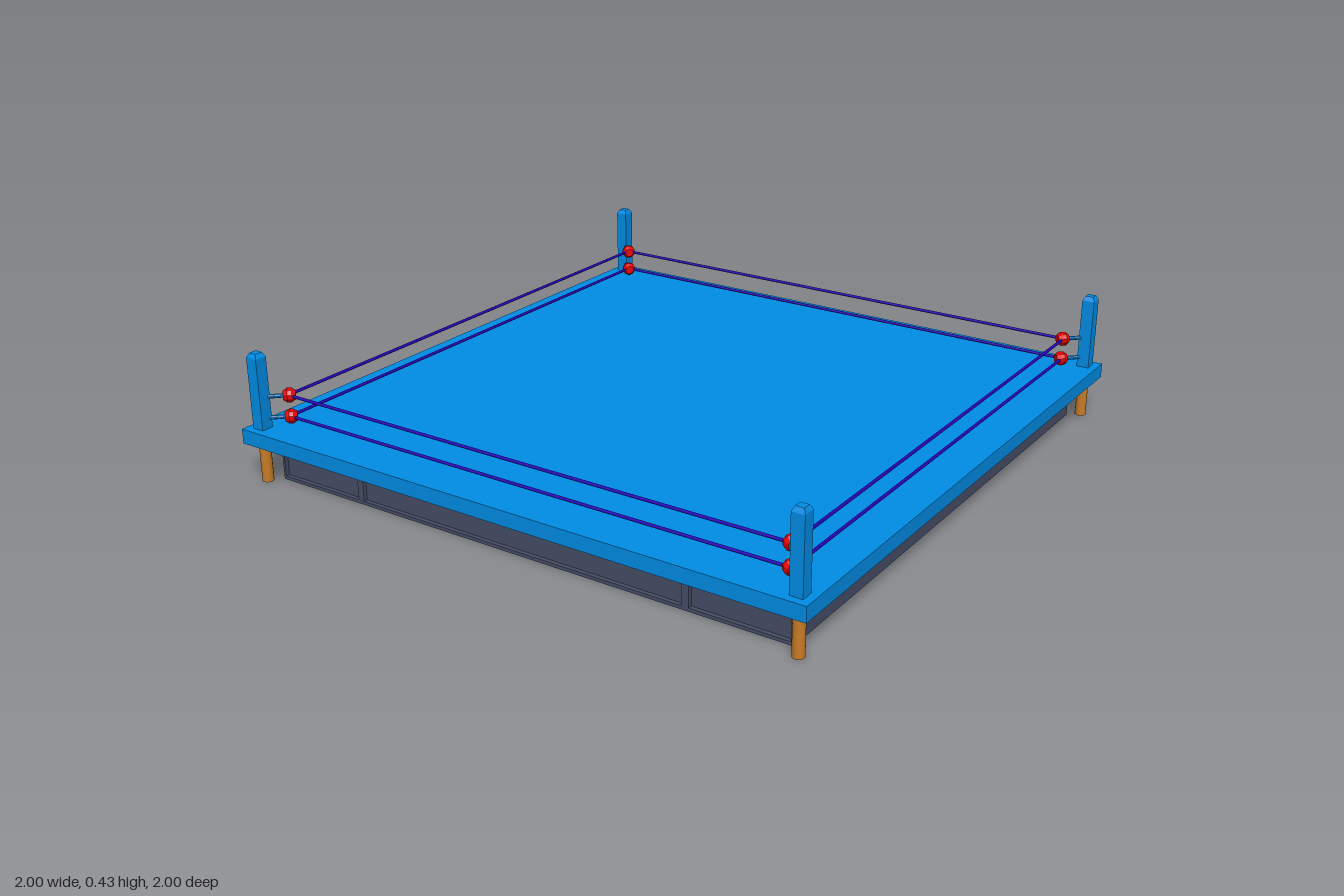
import * as THREE from 'three';

const mat = (name, color, flatShading = false) => {
  const m = new THREE.MeshStandardMaterial({ color, flatShading });
  m.name = name;
  return m;
};

export function createModel() {
  const blue = mat('canvas blue', 0x008fea, true);
  const grey = mat('skirt grey', 0x464e66);
  const wood = mat('leg brown', 0xc87c28);
  const red = mat('pad red', 0xff0000, true);
  const navy = mat('rope navy', 0x2404b8);

  const model = new THREE.Group();
  model.name = 'ring';
  const add = (name, geo, material, x, y, z, parent = model) => {
    const m = new THREE.Mesh(geo, material);
    m.name = name;
    m.position.set(x, y, z);
    parent.add(m);
    return m;
  };

  // Platform deck
  add('platform', new THREE.BoxGeometry(2, 0.048, 2), blue, 0, 0.154, 0);

  // Plain thin skirt walls on the left and right
  for (const s of [-1, 1])
    add('sideSkirt', new THREE.BoxGeometry(0.004, 0.13, 1.84), grey, s * 0.918, 0.065, 0);

  // Framed skirt walls on the front and back, each with three inset panels
  const rect = (path, x0, x1, y0, y1) => path.moveTo(x0, y0).lineTo(x1, y0).lineTo(x1, y1).lineTo(x0, y1).closePath();
  const frame = new THREE.Shape();
  rect(frame, -0.92, 0.92, 0, 0.13);
  const panels = [[-0.912, -0.602], [-0.58, 0.573], [0.597, 0.912]];
  for (const [a, b] of panels) {
    const hole = new THREE.Path();
    rect(hole, a, b, 0.011, 0.119);
    frame.holes.push(hole);
  }
  const frameGeo = new THREE.ExtrudeGeometry(frame, { depth: 0.03, bevelEnabled: false });
  frameGeo.translate(0, 0, -0.015);
  for (const s of [-1, 1]) {
    const wall = new THREE.Group();
    wall.name = s > 0 ? 'frontSkirt' : 'backSkirt';
    wall.position.z = s * 0.905;
    wall.rotation.y = s > 0 ? 0 : Math.PI;
    add('skirtFrame', frameGeo, grey, 0, 0, 0, wall);
    for (const [a, b] of panels)
      add('skirtPanel', new THREE.BoxGeometry(b - a, 0.108, 0.003), grey, (a + b) / 2, 0.065, 0, wall);
    model.add(wall);
  }

  // Corner parts
  const legGeo = new THREE.CylinderGeometry(0.018, 0.018, 0.13, 20);
  const postGeo = new THREE.BoxGeometry(0.041, 0.235, 0.041);
  const capGeo = new THREE.CylinderGeometry(0.013 * Math.SQRT2, 0.0205 * Math.SQRT2, 0.014, 4);
  capGeo.rotateY(Math.PI / 4);
  const armGeo = new THREE.CylinderGeometry(0.007, 0.007, 0.095, 10).rotateX(Math.PI / 2);
  const padProfile = [[0, -0.019], [0.015, -0.019], [0.024, -0.006], [0.024, 0.006], [0.015, 0.019], [0, 0.019]];
  const padGeo = new THREE.LatheGeometry(padProfile.map(([r, y]) => new THREE.Vector2(r, y)), 10).rotateX(Math.PI / 2);
  const ropeHeights = [0.209, 0.279];
  for (const sx of [-1, 1]) for (const sz of [-1, 1]) {
    const x = sx * 0.955, z = sz * 0.955;
    add('leg', legGeo, wood, x, 0.065, z);
    add('post', postGeo, blue, x, 0.2935, z);
    add('postCap', capGeo, blue, x, 0.418, z);
    for (const y of ropeHeights) {
      // Diagonal tensioner from the post to the pad
      add('tensioner', armGeo, blue, sx * 0.924, y, sz * 0.924).rotation.y = Math.atan2(sx, sz);
      add('turnbucklePad', padGeo, red, sx * 0.893, y, sz * 0.893).rotation.y = Math.atan2(sx, sz);
    }
  }

  // Ropes along all four sides
  const ropeGeo = new THREE.CylinderGeometry(0.005, 0.005, 1.79, 10);
  for (const y of ropeHeights) for (const s of [-1, 1]) {
    add('crossRope', ropeGeo, navy, 0, y, s * 0.896).rotation.z = Math.PI / 2;
    add('sideRope', ropeGeo, navy, s * 0.896, y, 0).rotation.x = Math.PI / 2;
  }
  return model;
}
